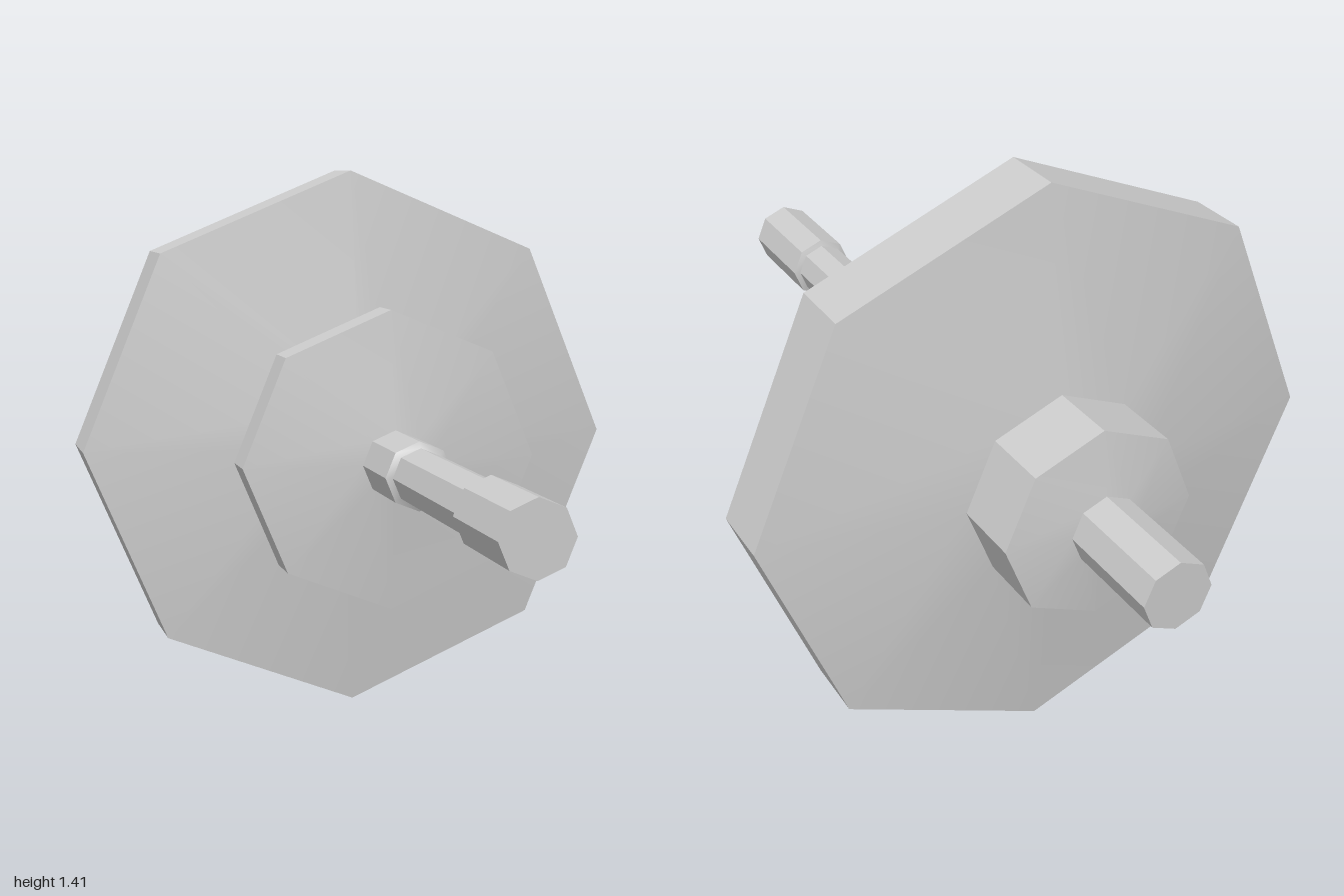
import * as THREE from 'three';
import { toCreasedNormals } from 'three/addons/utils/BufferGeometryUtils.js';

const SIDES = 8;
const AXIS_Y = 0.706;

// Octagonal profiles along the axle as [radius, z], listed from back to front.
// Neighbouring parts share their rims, so together they form one closed skin.
const PARTS = {
  rearAxle: [[0, -1], [0.083, -1], [0.083, -0.727]],
  hub: [[0.083, -0.727], [0.235, -0.705], [0.235, -0.535]],
  largeDisc: [[0.235, -0.535], [0.706, -0.463], [0.706, -0.305], [0.13, -0.222]],
  neck: [[0.13, -0.222], [0.13, -0.093]],
  smallDisc: [[0.13, -0.093], [0.372, -0.047], [0.372, 0.047], [0.083, 0.085]],
  frontCollar: [[0.083, 0.085], [0.083, 0.27], [0.068, 0.278]],
  frontAxle: [[0.068, 0.278], [0.068, 0.735]],
  axleTip: [[0.068, 0.735], [0.083, 0.74], [0.083, 1], [0, 1]],
};

export function createModel() {
  const group = new THREE.Group();
  group.name = 'discsOnAxle';
  const material = new THREE.MeshStandardMaterial({ color: 0xcccccc });

  for (const [name, profile] of Object.entries(PARTS)) {
    const points = profile.map(([r, z]) => new THREE.Vector2(r, z));
    const lathe = new THREE.LatheGeometry(points, SIDES).rotateX(Math.PI / 2);
    // Shallow cones blend softly, rims and flats stay sharp
    const mesh = new THREE.Mesh(toCreasedNormals(lathe, Math.PI / 6), material);
    mesh.name = name;
    mesh.position.y = AXIS_Y;
    group.add(mesh);
  }
  return group;
}
